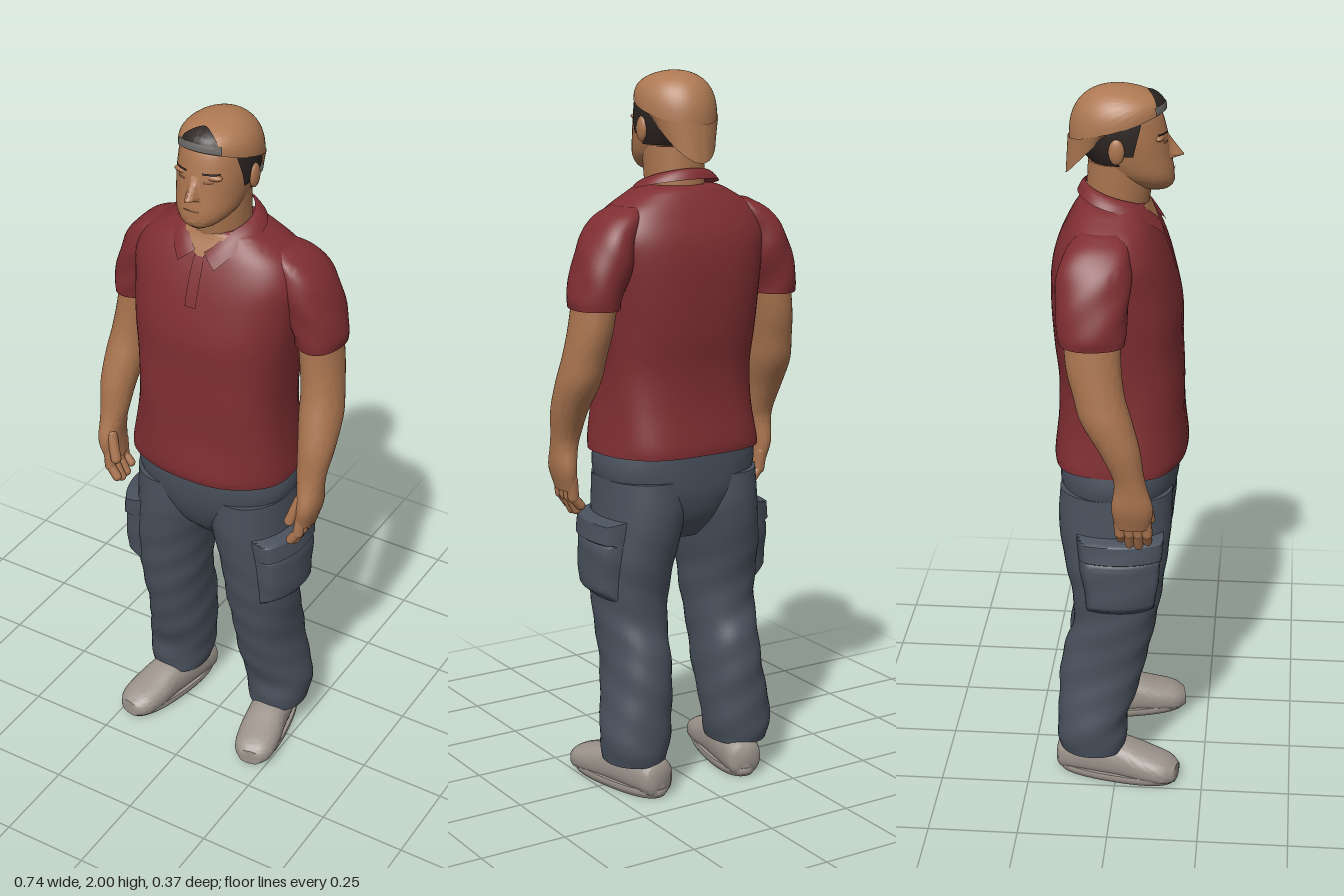
import * as THREE from 'three';
import { toCreasedNormals } from 'three/addons/utils/BufferGeometryUtils.js';

const mat = (name, color, side = THREE.FrontSide) => {
  const m = new THREE.MeshStandardMaterial({ color, side });
  m.name = name;
  return m;
};

// Surface from a function of (u, v); u runs to the right and v runs up when seen from outside
function grid(nu, vs, fn, crease = 0.9) {
  const pos = [], idx = [];
  vs.forEach((v, j) => {
    for (let i = 0; i <= nu; i++) pos.push(...fn(i / nu, v, j));
  });
  for (let j = 0; j < vs.length - 1; j++) {
    for (let i = 0; i < nu; i++) {
      const a = j * (nu + 1) + i, b = a + 1, c = a + nu + 1, d = c + 1;
      idx.push(a, b, d, a, d, c);
    }
  }
  const g = new THREE.BufferGeometry();
  g.setAttribute('position', new THREE.Float32BufferAttribute(pos, 3));
  g.setIndex(idx);
  return toCreasedNormals(g, crease);
}
const steps = (n, a = 0, b = 1) => Array.from({ length: n + 1 }, (_, i) => a + (b - a) * i / n);

// Smooth body through cross-sections [y, centre x, centre z, radius x, radius z]
function body(rows, n = 2.2, fold = () => 0) {
  const curve = (f) => new THREE.CatmullRomCurve3(rows.map(f), false, 'catmullrom', 0.5);
  const centre = curve((r) => new THREE.Vector3(r[1], r[0], r[2]));
  const radius = curve((r) => new THREE.Vector3(r[3], 0, r[4]));
  const pow = (x) => Math.sign(x) * Math.abs(x) ** (2 / n);
  return (a, t, out = 0, scale = 1) => {
    const c = centre.getPoint(t), r = radius.getPoint(t);
    const k = scale * (1 + fold(a, c.y));
    return [c.x + (r.x + out) * k * pow(Math.sin(a)), c.y, c.z + (r.z + out) * k * pow(Math.cos(a))];
  };
}
// Closed solid of a body
function solid(fn, nv = 36, nu = 40) {
  const vs = [0, ...steps(nv), 1];
  return grid(nu, vs, (u, v, j) =>
    fn((u * 2 - 1) * Math.PI, v, 0, j === 0 || j === vs.length - 1 ? 0 : 1));
}
// Raised patch on a body between two angles and two heights
const patch = (fn, t0, t1, a0, a1, out, nu = 16, nv = 8) =>
  grid(nu, steps(nv), (u, v) => fn(a0 + (a1 - a0) * u, t0 + (t1 - t0) * v,
    typeof out === 'function' ? out(u, v) : out));

const mirrorRows = (rows, s) => rows.map(([y, x, ...r]) => [y, x * s, ...r]);
const padded = (depth) => (u, v) =>
  depth * Math.min(1, 6 * Math.min(u, 1 - u), 7 * Math.min(v, 1 - v)) - 0.002;

const TORSO = [[0.97, 0, 0, 0.236, 0.181], [1.0, 0, 0.002, 0.234, 0.183], [1.1, 0, 0.005, 0.222, 0.172],
  [1.2, 0, 0.005, 0.215, 0.171], [1.3, 0, -0.005, 0.22, 0.174], [1.4, 0, -0.01, 0.23, 0.176],
  [1.5, 0, -0.02, 0.24, 0.165], [1.57, 0, -0.025, 0.245, 0.148], [1.63, 0, -0.025, 0.215, 0.122],
  [1.67, 0, -0.025, 0.155, 0.1], [1.69, 0, -0.022, 0.115, 0.088], [1.697, 0, -0.02, 0.08, 0.072]];
const SLEEVE = [[1.385, 0.283, -0.055, 0.064, 0.086], [1.42, 0.28, -0.055, 0.069, 0.09],
  [1.5, 0.255, -0.055, 0.075, 0.097], [1.57, 0.235, -0.05, 0.065, 0.095],
  [1.62, 0.205, -0.045, 0.052, 0.08], [1.65, 0.17, -0.04, 0.035, 0.05]];
const ARM = [[0.87, 0.312, 0.055, 0.024, 0.046], [0.93, 0.322, 0.055, 0.031, 0.056],
  [0.99, 0.32, 0.05, 0.036, 0.044], [1.03, 0.318, 0.042, 0.041, 0.043], [1.1, 0.318, 0.02, 0.05, 0.055],
  [1.18, 0.31, -0.015, 0.058, 0.068], [1.25, 0.302, -0.035, 0.056, 0.068],
  [1.33, 0.29, -0.05, 0.056, 0.073], [1.44, 0.275, -0.055, 0.056, 0.075]];
const HIPS = [[0.72, 0, -0.01, 0.06, 0.075], [0.78, 0, -0.009, 0.125, 0.128], [0.85, 0, -0.006, 0.205, 0.156],
  [0.92, 0, -0.002, 0.237, 0.166], [1.0, 0, 0, 0.228, 0.168]];
const LEG = [[0.095, 0.172, -0.065, 0.084, 0.094], [0.14, 0.17, -0.068, 0.094, 0.1],
  [0.2, 0.165, -0.068, 0.098, 0.1], [0.3, 0.155, -0.05, 0.093, 0.115], [0.4, 0.148, -0.03, 0.091, 0.12],
  [0.5, 0.147, -0.008, 0.097, 0.116], [0.6, 0.145, 0, 0.104, 0.128], [0.7, 0.135, -0.005, 0.113, 0.145],
  [0.8, 0.12, -0.007, 0.118, 0.157], [0.9, 0.115, -0.004, 0.117, 0.155]];
const HEAD = [[1.725, 0, 0.085, 0.03, 0.04], [1.74, 0, 0.076, 0.055, 0.063], [1.77, 0, 0.05, 0.08, 0.09],
  [1.82, 0, 0.018, 0.093, 0.113], [1.88, 0, -0.002, 0.098, 0.122], [1.94, 0, -0.01, 0.09, 0.108],
  [1.975, 0, -0.012, 0.05, 0.06]];
const NECK = [[1.6, 0, -0.02, 0.08, 0.08], [1.7, 0, -0.008, 0.081, 0.085], [1.8, 0, 0, 0.084, 0.088]];
// Shoe sections run from heel to toe, laid flat afterwards
const SHOE = [[-0.17, 0, -0.05, 0.035, 0.04], [-0.15, 0, -0.055, 0.052, 0.053], [-0.06, 0, -0.061, 0.058, 0.06],
  [0.02, 0, -0.058, 0.059, 0.058], [0.09, 0, -0.047, 0.063, 0.047], [0.15, 0, -0.038, 0.056, 0.037],
  [0.18, 0, -0.032, 0.034, 0.024]];
const SOLE = [[0, 0, 0.003, 0.056, 0.168], [0.014, 0, 0.003, 0.064, 0.178], [0.026, 0, 0.003, 0.063, 0.176]];

export function createModel() {
  const model = new THREE.Group();
  model.name = 'standingMan';
  const skin = mat('skin', 0xa9744f), capCloth = mat('capCloth', 0xae7953, THREE.DoubleSide);
  const shirt = mat('shirt', 0x7f2e32, THREE.DoubleSide), denim = mat('trousers', 0x49515d);
  const shoeGrey = mat('shoe', 0x9b938b), hair = mat('hair', 0x2b2422), darkSkin = mat('darkSkin', 0x85583f);
  const strapGrey = mat('strap', 0x6a6865);
  const add = (name, geo, m) => {
    const mesh = new THREE.Mesh(geo, m);
    mesh.name = name;
    model.add(mesh);
    return mesh;
  };
  const blob = (name, m, p, s) => {
    const mesh = add(name, new THREE.SphereGeometry(1, 20, 14), m);
    mesh.position.set(...p);
    mesh.scale.set(...s);
  };
  const rod = (name, a, b, r) => {
    const A = new THREE.Vector3(...a), B = new THREE.Vector3(...b);
    const mesh = add(name, new THREE.CapsuleGeometry(r, A.distanceTo(B), 5, 10), skin);
    mesh.position.copy(A).lerp(B, 0.5);
    mesh.quaternion.setFromUnitVectors(new THREE.Vector3(0, 1, 0), B.sub(A).normalize());
  };

  // Shirt with loose folds, open neck, placket and collar
  const torso = body(TORSO, 2.6, (a, y) => 0.012 * Math.sin(5 * a + 14 * y) * Math.max(0, 1.55 - y) / 0.4);
  add('shirtBody', solid(torso, 48, 56), shirt);
  add('openNeck', grid(12, steps(8), (u, v) => torso((u * 2 - 1) * 0.45 * v, (7.9 + 2.1 * v) / 11, 0.004)), skin);
  add('placket', patch(torso, 6 / 11, 8 / 11, -0.03, 0.03, 0.004, 4), shirt);
  add('collar', grid(44, steps(4), (u, v) => {
    const w = 1 - v, start = 0.15 + 0.3 * w, a = start + u * 2 * (Math.PI - start);
    const c = Math.cos(a), f = Math.max(0, c), drop = 0.028 + 0.035 * f * f;
    return [Math.sin(a) * (0.088 + 0.038 * w),
      1.717 - 0.026 * c - 0.05 * f ** 6 - drop * w + 0.006 * Math.sin(v * Math.PI),
      -0.01 + c * (0.086 + 0.025 * f ** 4 + w * (c > 0 ? 0.041 : 0.02))];
  }), shirt);

  // Trouser seat
  add('trouserSeat', solid(body(HIPS, 2.3), 24), denim);

  for (const s of [1, -1]) {
    const side = s > 0 ? 'left' : 'right';
    // Sleeve, arm and hand
    const sleeve = body(mirrorRows(SLEEVE, s), 2.1, (a, y) => 0.02 * Math.sin(4 * a * s + 50 * y));
    add(side + 'Sleeve', solid(sleeve, 24), shirt);
    add(side + 'Arm', solid(body(mirrorRows(ARM, s), 2.1)), skin);
    [0.018, 0.042, 0.066, 0.09].forEach((z, i) => {
      const low = [0.825, 0.808, 0.805, 0.818][i];
      rod(side + 'FingerBase', [s * 0.313, 0.9, z], [s * 0.308, 0.85, z + 0.004], 0.0155);
      rod(side + 'FingerTip', [s * 0.308, 0.85, z + 0.004], [s * 0.286, low, z + 0.004], 0.0135);
    });
    rod(side + 'Thumb', [s * 0.305, 0.955, 0.085], [s * 0.283, 0.885, 0.1], 0.015);

    // Trouser leg with creases, cargo pocket and flap
    const leg = body(mirrorRows(LEG, s), 2.15, (a, y) =>
      0.03 * Math.sin(2 * a * s + 42 * y) * Math.sin(a * s + 17 * y) * Math.min(1, Math.max(0, (0.85 - y) * 3)));
    const range = s > 0 ? [0.5, 2.25] : [-2.25, -0.5];
    add(side + 'Leg', solid(leg, 60), denim);
    add(side + 'CargoPocket', patch(leg, 5.62 / 9, 7.5 / 9, ...range, padded(0.03), 24, 24), denim);
    add(side + 'PocketFlap', patch(leg, 7.2 / 9, 7.95 / 9, ...range, padded(0.036), 24, 24), denim);

    // Shoe turned slightly outward
    const upper = solid(body(SHOE, 2.4), 30).rotateX(Math.PI / 2);
    for (const [name, geo] of [['Shoe', upper], ['ShoeSole', solid(body(SOLE, 2.4), 6)]]) {
      const mesh = add(side + name, geo, shoeGrey);
      mesh.position.x = s * 0.175;
      mesh.rotation.y = s * 0.2;
    }
  }

  // Head and face
  const head = body(HEAD, 2.15);
  add('neck', solid(body(NECK, 2), 10), skin);
  add('head', solid(head), skin);
  add('hairBack', patch(head, 2.7 / 6, 4.4 / 6, 1.75, 2 * Math.PI - 1.75, 0.005, 32), hair);
  add('nose', patch(head, 2.72 / 6, 3.85 / 6, -0.3, 0.3, (u, v) =>
    0.036 * Math.exp(-(((u - 0.5) / (0.24 - 0.12 * v)) ** 2)) * Math.min(v / 0.16, (1 - v) / 0.84) - 0.001,
  20, 20), skin);
  blob('chin', skin, [0, 1.75, 0.122], [0.03, 0.018, 0.02]);
  add('mouth', patch(head, 2.2 / 6, 2.29 / 6, -0.24, 0.24, 0.003), darkSkin);
  for (const s of [1, -1]) {
    const span = (a, b) => (s > 0 ? [a, b] : [-b, -a]);
    blob('browRidge', skin, [s * 0.038, 1.87, 0.102], [0.032, 0.01, 0.014]);
    add('eyebrow', patch(head, 3.98 / 6, 4.06 / 6, ...span(0.2, 0.65), 0.005), hair);
    add('eye', patch(head, 3.6 / 6, 3.7 / 6, ...span(0.26, 0.5), 0.003), darkSkin);
    add('sideburn', grid(8, steps(8), (u, v) => {
      const [a0, a1] = span(1.02 + 0.36 * (1 - v), 1.76);
      return head(a0 + (a1 - a0) * u, (3.2 + 1.4 * v) / 6, 0.004);
    }), hair);
    blob('ear', skin, [s * 0.102, 1.845, -0.005], [0.011, 0.034, 0.021]);
  }

  // Backward cap: crown, front opening with strap, and hanging brim
  const crown = (a, t, out = 0) => {
    const r = Math.sqrt(Math.max(0, 1 - t ** 2.6));
    const z = -0.012 + (0.126 * r + out) * Math.cos(a);
    return [(0.106 * r + out) * Math.sin(a), 1.9 + 0.098 * t + 0.3 * z * (1 - t) + out * t, z];
  };
  add('capCrown', grid(48, steps(24).map((t) => 1 - (1 - t) ** 2), (u, v) =>
    crown((u * 2 - 1) * Math.PI, v)), capCloth);
  add('capOpening', grid(20, steps(8), (u, v) =>
    crown((u * 2 - 1) * 0.55, 0.25 + 0.58 * v * Math.sqrt(1 - (u * 2 - 1) ** 2), 0.003)), hair);
  add('capStrap', grid(20, steps(4), (u, v) => crown((u * 2 - 1) * 0.62, 0.04 + 0.3 * v, 0.005)), strapGrey);
  // Brim faces: w is 0 at the crown and 1 at the lip
  const brim = (u, w, out) => {
    const a = Math.PI + (u * 2 - 1) * 1.4, len = 0.102 * Math.max(0, -Math.cos(a)) ** 1.3;
    const [x, y, z] = crown(a, 0.02, out * (1 - w));
    return [x * (1 - 0.1 * w), y - len * w, z - 0.09 * len * w];
  };
  add('capBrim', grid(36, steps(8), (u, v) => brim(u, 1 - v, 0.003)), capCloth);
  add('capBrimUnderside', grid(36, steps(8), (u, v) => brim(u, v, -0.006)), strapGrey);
  return model;
}
